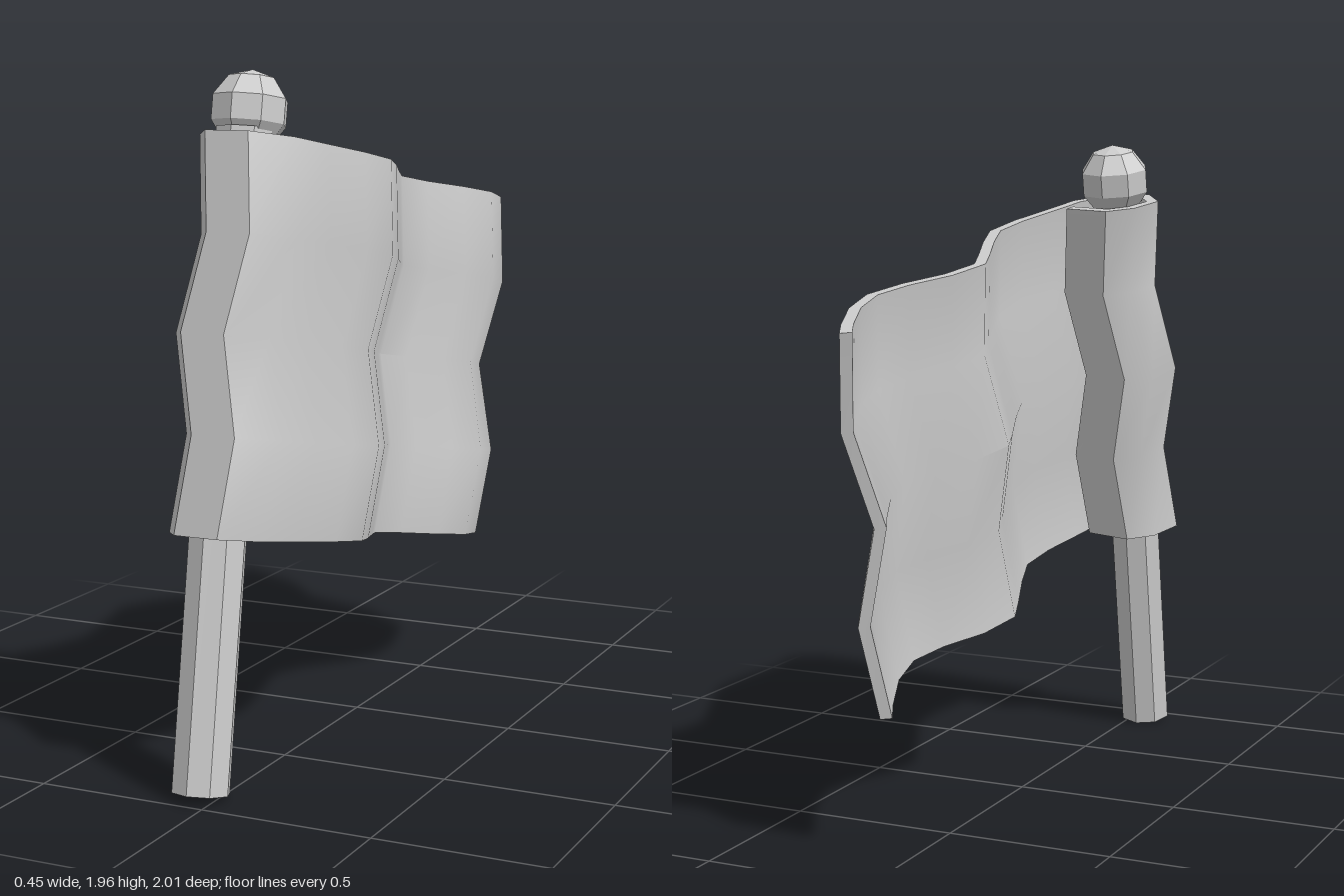
import * as THREE from 'three';
import { toCreasedNormals } from 'three/addons/utils/BufferGeometryUtils.js';

// Cloth centre line as [x, distance from pole towards the fly end]; starts with the sleeve round the pole
const PATH = [
  [0.06, 0.10], [-0.08, 0.13], [-0.145, 0.083], [-0.18, -0.01], [-0.12, -0.096], [-0.005, -0.096],
  [0.075, 0.0], [0.11, 0.143], [0.15, 0.296], [0.165, 0.438], [0.12, 0.581], [0.055, 0.754],
  [0.02, 0.855], [0.055, 0.988], [0.13, 1.11], [0.172, 1.232], [0.15, 1.374], [0.085, 1.537], [0.045, 1.618],
].map(([x, u]) => new THREE.Vector2(x, -u));

// Per-row ripple (bottom to top): sideways shift, and stretch of the fly end
const SHIFT = [0, 0.03, -0.027, 0.028, 0];
const STRETCH = [0, 0.015, -0.028, 0, 0];
const BOTTOM = 0.7, ROW = 0.275, HALF = 0.017;

// Two parallel outlines either side of the centre line, joined into one loop
function outline() {
  const n = PATH.length, left = [], right = [];
  PATH.forEach((p, i) => {
    const a = p.clone().sub(PATH[Math.max(i - 1, 0)]).normalize();
    const b = PATH[Math.min(i + 1, n - 1)].clone().sub(p).normalize();
    const t = a.clone().add(b).normalize();
    const miter = HALF / Math.max(0.5, t.dot(i ? a : b));
    const side = new THREE.Vector2(t.y, -t.x).multiplyScalar(miter);
    left.push(p.clone().add(side));
    right.push(p.clone().sub(side));
  });
  return [...left, ...right.reverse()];
}

function clothGeometry() {
  const loop = outline(), m = loop.length, n = PATH.length;
  const pos = [], idx = [];
  SHIFT.forEach((dx, r) => {
    for (const p of loop) {
      const end = THREE.MathUtils.smoothstep(-p.y, 1.2, 1.6);
      pos.push(p.x + dx, BOTTOM + ROW * r, p.y - STRETCH[r] * end);
    }
  });
  // Side walls
  for (let r = 0; r < SHIFT.length - 1; r++) {
    for (let i = 0; i < m; i++) {
      const a = r * m + i, b = r * m + (i + 1) % m, c = a + m, d = b + m;
      idx.push(a, c, b, b, c, d);
    }
  }
  // Top and bottom edges
  const top = (SHIFT.length - 1) * m;
  for (let i = 0; i < n - 1; i++) {
    const l0 = i, l1 = i + 1, r0 = m - 1 - i, r1 = m - 2 - i;
    idx.push(top + l0, top + r0, top + l1, top + l1, top + r0, top + r1);
    idx.push(l0, l1, r0, l1, r1, r0);
  }
  const g = new THREE.BufferGeometry();
  g.setAttribute('position', new THREE.Float32BufferAttribute(pos, 3));
  g.setIndex(idx);
  return toCreasedNormals(g, 0.68);
}

export function createModel() {
  const root = new THREE.Group();
  root.name = 'flag';
  const smooth = new THREE.MeshStandardMaterial({ color: 0xcccccc });
  const flat = new THREE.MeshStandardMaterial({ color: 0xcccccc, flatShading: true });

  // Everything leans back with the pole
  const tilted = new THREE.Group();
  tilted.name = 'tiltedFlag';
  tilted.position.set(0, 0.015, 0.92);
  tilted.rotation.x = -0.183;
  root.add(tilted);

  const add = (name, geometry, material) => {
    const mesh = new THREE.Mesh(geometry, material);
    mesh.name = name;
    tilted.add(mesh);
    return mesh;
  };

  const pole = add('pole', new THREE.CylinderGeometry(0.083, 0.083, 1.82, 8).translate(0, 0.91, 0), flat);
  pole.position.x = -0.046;
  pole.rotation.z = 0.011;

  const finial = add('finial', new THREE.SphereGeometry(0.114, 8, 5), flat);
  finial.position.set(-0.067, 1.872, -0.02);

  add('cloth', clothGeometry(), smooth);
  return root;
}
